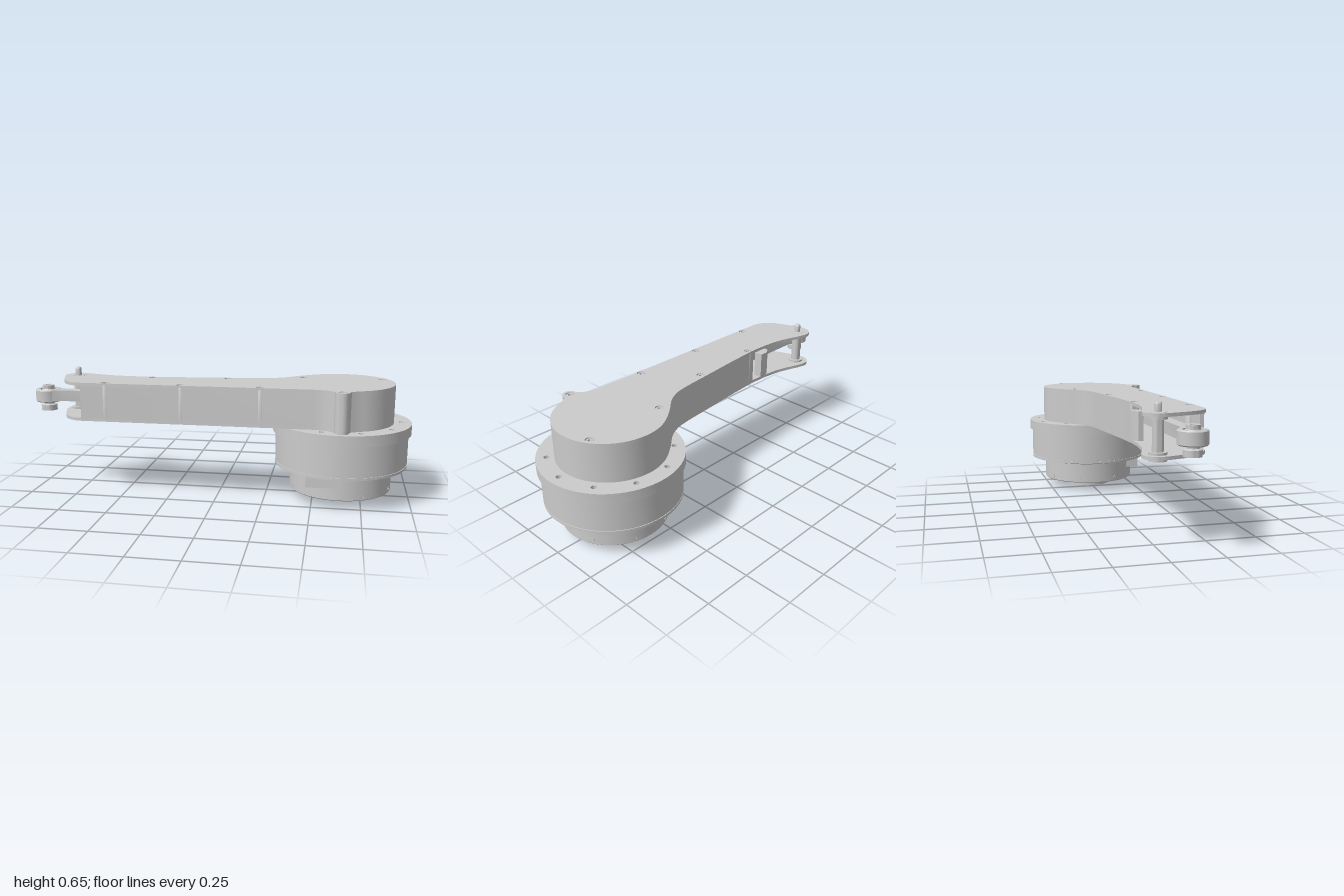
import * as THREE from 'three';
import { toCreasedNormals } from 'three/addons/utils/BufferGeometryUtils.js';

const mat = new THREE.MeshStandardMaterial({ color: 0xcccccc });
const HUB = 0.64; // x of the motor axis

function add(group, name, geo, x = 0, y = 0, z = 0) {
  const mesh = new THREE.Mesh(toCreasedNormals(geo, 0.6), mat);
  mesh.name = name;
  mesh.position.set(x, y, z);
  group.add(mesh);
  return mesh;
}

// Solid of revolution from [radius, y] pairs, listed bottom to top
function turned(profile, segments = 64) {
  return new THREE.LatheGeometry(profile.map(([r, y]) => new THREE.Vector2(r, y)), segments);
}

// Extrude a plan given as (x, z) points upward; holes are [x, z, radius]
function slab(points, y, height, holes = []) {
  const shape = new THREE.Shape(points.map(p => new THREE.Vector2(p.x, -p.y)));
  for (const [x, z, r] of holes) {
    shape.holes.push(new THREE.Path().absarc(x, -z, r, 0, Math.PI * 2, true));
  }
  const geo = new THREE.ExtrudeGeometry(shape, { depth: height, bevelEnabled: false, curveSegments: 10 });
  return geo.rotateX(-Math.PI / 2).translate(0, y, 0);
}

const v = (x, z) => new THREE.Vector2(x, z);
const spline = (pairs, n) => new THREE.SplineCurve(pairs.map(p => v(...p))).getPoints(n);

// Arc in plan, degrees measured from +x towards +z
function arc(cx, cz, r, from, to, n) {
  return Array.from({ length: n + 1 }, (_, i) => {
    const a = THREE.MathUtils.degToRad(from + (to - from) * i / n);
    return v(cx + r * Math.cos(a), cz + r * Math.sin(a));
  });
}

// Band of constant thickness on the inner side of an open path
function band(path, t) {
  const inner = path.map((p, i) => {
    const d = path[Math.min(i + 1, path.length - 1)].clone().sub(path[Math.max(i - 1, 0)]).normalize();
    return v(p.x + d.y * t, p.y - d.x * t);
  });
  return [...path, ...inner.reverse()];
}

function buildArm() {
  const arm = new THREE.Group();
  arm.name = 'arm';
  // Walled part of the outline: front edge, screw boss, hub curve, back edge
  const walled = [
    v(-0.7, 0.25), v(0.5, 0.25),
    ...spline([[0.54, 0.255], [0.58, 0.272], [0.603, 0.292]], 6),
    ...arc(HUB, 0.3, 0.036, 170, 10, 12),
    ...spline([[0.682, 0.282], [0.705, 0.268]], 2),
    ...arc(0.635, 0, 0.272, 69, -125, 44),
    ...spline([[0.465, -0.214], [0.4, -0.163], [0.34, -0.11], [0.28, -0.076], [0.2, -0.055],
      [0, -0.035], [-0.2, -0.015], [-0.4, 0]], 32),
  ];
  // Open fork end, plates only
  const tip = [
    ...spline([[-0.5, -0.003], [-0.6, -0.015], [-0.68, -0.036], [-0.75, -0.06]], 12),
    ...arc(-0.8, -0.003, 0.067, -65, -185, 12),
    ...spline([[-0.862, 0.03], [-0.84, 0.1], [-0.815, 0.165], [-0.785, 0.212], [-0.74, 0.242]], 14),
  ];
  const screws = [[-0.57, 0.23], [-0.17, 0.23], [0.235, 0.23], [HUB, 0.3],
    [0.845, -0.12], [0.43, -0.12], [0.035, -0.01], [-0.37, 0.018]];
  const outline = [...walled, ...tip];
  add(arm, 'topPlate', slab(outline, 0.59, 0.016, screws.map(([x, z]) => [x, z, 0.021])));
  add(arm, 'bottomPlate', slab(outline, 0.405, 0.016));
  add(arm, 'sideWall', slab(band(walled, 0.02), 0.42, 0.171));

  // Countersunk screws on their pillars
  const screw = turned([[0, 0.42], [0.022, 0.42], [0.022, 0.592], [0.017, 0.603], [0.009, 0.603], [0.009, 0.593], [0, 0.593]], 20);
  for (const [x, z] of screws) add(arm, 'plateScrew', screw, x, 0, z);

  // Stop block on the back edge
  add(arm, 'stopBlock', slab([v(-0.52, 0.02), v(-0.44, 0.02), v(-0.44, -0.026), v(-0.485, -0.026), v(-0.52, -0.005)], 0.435, 0.14));
  return arm;
}

function buildLinkage() {
  const linkage = new THREE.Group();
  linkage.name = 'linkage';
  // Pin through the fork, with collars and a slotted head
  add(linkage, 'forkPin', turned([[0, 0.392], [0.042, 0.392], [0.042, 0.406], [0.062, 0.406], [0.062, 0.421],
    [0.042, 0.421], [0.042, 0.432], [0.026, 0.432], [0.026, 0.575], [0.042, 0.575], [0.042, 0.607],
    [0.017, 0.607], [0.017, 0.643], [0.013, 0.649], [0, 0.649]], 32), -0.8, 0, 0);
  // Rod end eye with its ball and sleeve
  add(linkage, 'rodEye', turned([[0.044, 0.478], [0.063, 0.478], [0.068, 0.483], [0.068, 0.54], [0.063, 0.545],
    [0.044, 0.545], [0.044, 0.478]], 40), -0.932, 0, 0.11);
  add(linkage, 'eyeBall', turned([[0.014, 0.43], [0.042, 0.43], [0.042, 0.46], [0.03, 0.465], [0.03, 0.48],
    [0.043, 0.495], [0.045, 0.512], [0.043, 0.53], [0.032, 0.546], [0.032, 0.565], [0.014, 0.565], [0.014, 0.43]], 32), -0.932, 0, 0.11);
  // Link running into the arm
  add(linkage, 'linkRod', slab([v(-0.905, 0.17), v(-0.84, 0.145), v(-0.5, 0.145), v(-0.5, 0.085), v(-0.84, 0.085), v(-0.905, 0.052),
    v(-0.885, 0.11)], 0.485, 0.058));
  return linkage;
}

function buildMotor() {
  const motor = new THREE.Group();
  motor.name = 'motor';
  motor.position.x = HUB;
  const ring = (n, r, start, size) => arc(0, 0, r, start, start + 360 * (n - 1) / n, n - 1).map(p => [p.x, p.y, size]);
  const disc = r => arc(0, 0, r, 360, 0, 72).slice(0, -1);

  // Drilled flanges above and below the housing
  add(motor, 'mountingFlange', slab(disc(0.358), 0.35, 0.055, ring(10, 0.306, 0, 0.014)));
  add(motor, 'lowerRim', slab(disc(0.344), 0.177, 0.013, ring(20, 0.312, 9, 0.009)));
  add(motor, 'housing', turned([[0, 0.187], [0.34, 0.187], [0.34, 0.193], [0.344, 0.194], [0.344, 0.36], [0, 0.36]], 72));
  add(motor, 'gearCase', turned([[0, 0.049], [0.245, 0.049], [0.248, 0.046], [0.262, 0.046], [0.266, 0.05],
    [0.266, 0.159], [0.285, 0.178], [0, 0.178]], 72));

  // Output boss with bolt circle
  const boltCircle = [...ring(8, 0.085, 22.5, 0.012), [0, 0, 0.02]];
  add(motor, 'outputFace', slab(disc(0.127), 0, 0.022, boltCircle));
  add(motor, 'outputBoss', turned([[0, 0.018], [0.127, 0.018], [0.127, 0.04], [0.131, 0.041], [0.131, 0.05], [0, 0.05]], 48));

  // Radial set screws, leaving out the one under the connector
  for (let i = 0; i < 8; i++) {
    if (i === 2) continue;
    const a = THREE.MathUtils.degToRad(19 + 45 * i);
    const geo = turned([[0, 0], [0.011, 0], [0.011, 0.02], [0.007, 0.02], [0.006, 0.01], [0, 0.01]], 16);
    geo.rotateZ(-Math.PI / 2);
    const screw = add(motor, 'setScrew', geo, 0.248 * Math.cos(a), 0.07, 0.248 * Math.sin(a));
    screw.rotation.y = -a;
  }

  // Cable connector at the front
  add(motor, 'connector', new THREE.BoxGeometry(0.175, 0.065, 0.12), -0.08, 0.147, 0.218);
  add(motor, 'connectorCap', new THREE.BoxGeometry(0.155, 0.014, 0.11), -0.08, 0.183, 0.22);
  return motor;
}

export function createModel() {
  const model = new THREE.Group();
  model.name = 'motorArm';
  model.add(buildArm(), buildLinkage(), buildMotor());
  return model;
}
